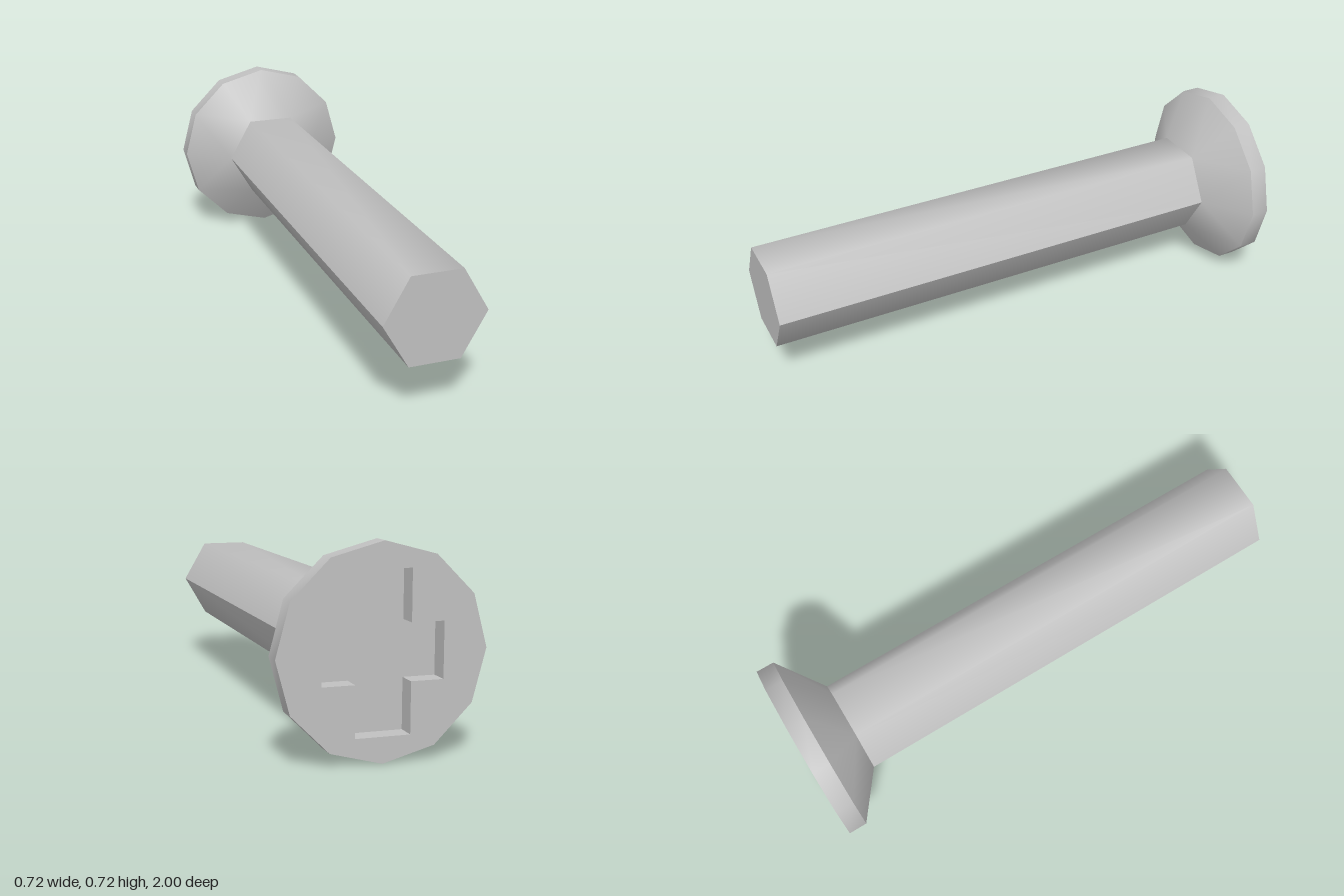
import * as THREE from 'three';
import { toCreasedNormals } from 'three/addons/utils/BufferGeometryUtils.js';

const HEAD_R = 0.362, SHAFT_R = 0.188;
const TIP_Z = 1, NECK_Z = -0.8, RIM_Z = -0.93, BACK_Z = -1;

// Corner i of a regular polygon, starting at +x
const corner = (r, i, n) => {
  const a = (i / n) * Math.PI * 2;
  return new THREE.Vector2(r * Math.cos(a), r * Math.sin(a));
};

// Cross outline: half height h, half width w, half arm thickness t
function crossPoints(h, w, t) {
  return [
    [t, t], [t, h], [-t, h], [-t, t], [-w, t], [-w, -t],
    [-t, -t], [-t, -h], [t, -h], [t, -t], [w, -t], [w, t],
  ].map(([x, y]) => new THREE.Vector2(x, y));
}

// Countersink: blends the six-sided shaft into the twelve-sided rim
function countersinkGeometry() {
  const pos = [], index = [];
  for (let i = 0; i < 6; i++) {
    const p = corner(SHAFT_R, i, 6);
    pos.push(p.x, p.y, NECK_Z);
  }
  for (let i = 0; i < 12; i++) {
    const p = corner(HEAD_R, i, 12);
    pos.push(p.x, p.y, RIM_Z);
  }
  for (let i = 0; i < 6; i++) {
    const next = (i + 1) % 6;
    const a = 6 + 2 * i, b = a + 1, c = 6 + 2 * next;
    index.push(i, a, b, i, b, next, next, b, c);
  }
  const geo = new THREE.BufferGeometry();
  geo.setAttribute('position', new THREE.Float32BufferAttribute(pos, 3));
  geo.setIndex(index);
  geo.computeVertexNormals();
  return geo;
}

export function createModel() {
  const model = new THREE.Group();
  model.name = 'screw';
  const steel = new THREE.MeshStandardMaterial({ color: 0xc0c0c0 });
  steel.name = 'steel';

  const add = (name, geo) => {
    const mesh = new THREE.Mesh(geo, steel);
    mesh.name = name;
    mesh.position.y = HEAD_R;
    model.add(mesh);
    return mesh;
  };

  // Shaft: two smooth halves meeting in a sharp edge on each side
  for (const [name, start] of [['shaftUpper', Math.PI / 2], ['shaftLower', -Math.PI / 2]]) {
    const half = new THREE.CylinderGeometry(
      SHAFT_R, SHAFT_R, TIP_Z - NECK_Z, 3, 1, true, start, Math.PI);
    half.computeVertexNormals();
    half.rotateX(Math.PI / 2).translate(0, 0, (TIP_Z + NECK_Z) / 2);
    add(name, half);
  }
  add('shaftTip', new THREE.CircleGeometry(SHAFT_R, 6).translate(0, 0, TIP_Z));

  add('countersink', countersinkGeometry());

  // Head rim with the cross cut through it
  const cross = crossPoints(0.272, 0.21, 0.096);
  const disc = new THREE.Shape(Array.from({ length: 12 }, (_, i) => corner(HEAD_R, i, 12)));
  disc.holes.push(new THREE.Path(cross));
  const rim = new THREE.ExtrudeGeometry(disc, { depth: RIM_Z - BACK_Z, bevelEnabled: false });
  add('headRim', toCreasedNormals(rim.translate(0, 0, BACK_Z), 0.7));

  // Floor of the cross recess
  const floor = new THREE.ShapeGeometry(new THREE.Shape(cross));
  add('recessFloor', floor.rotateY(Math.PI).translate(0, 0, RIM_Z));

  return model;
}
